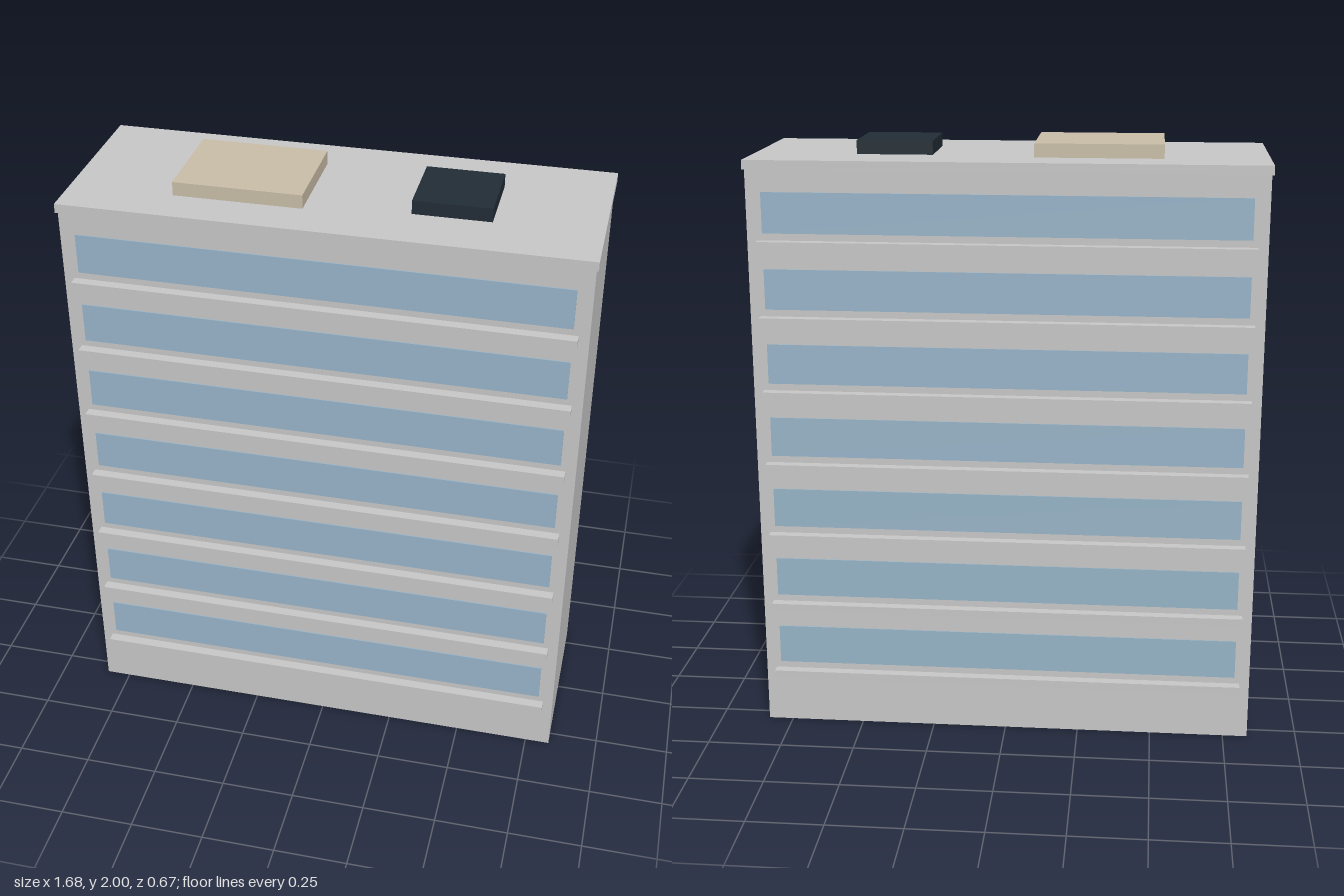
import * as THREE from 'three';

const material = (name, color) => {
  const m = new THREE.MeshStandardMaterial({ color });
  m.name = name;
  return m;
};

export function createModel() {
  const model = new THREE.Group();
  model.name = 'officeBlock';

  const concrete = material('concrete grey', 0xc8c8c8);
  const glass = material('window blue', 0x98b5c9);
  const beige = material('plant room beige', 0xcabea9);
  const dark = material('vent dark slate', 0x222d36);

  // Box given by its size, centre x and z, and bottom height
  const box = (name, mat, w, h, d, x, bottom, z, parent = model) => {
    const mesh = new THREE.Mesh(new THREE.BoxGeometry(w, h, d), mat);
    mesh.name = name;
    mesh.position.set(x, bottom + h / 2, z);
    parent.add(mesh);
  };

  // Main slab and overhanging roof
  box('body', concrete, 1.667, 1.925, 0.6, 0, 0, 0);
  box('roofSlab', concrete, 1.68, 0.03, 0.615, 0, 1.925, 0);

  // Rooftop units
  box('plantRoom', beige, 0.417, 0.045, 0.333, -0.292, 1.955, 0);
  box('roofVent', dark, 0.25, 0.045, 0.25, 0.375, 1.955, 0);

  // Seven floors, each with a window band and a ledge on both long sides
  for (let i = 0; i < 7; i++) {
    const floor = new THREE.Group();
    floor.name = `floor${i + 1}`;
    floor.position.y = i * 0.25;
    for (const [side, s] of [['front', 1], ['back', -1]]) {
      box(`${side}WindowBand`, glass, 1.567, 0.133, 0.008, 0, 0.22, s * 0.3, floor);
      box(`${side}Ledge`, concrete, 1.6, 0.026, 0.033, 0, 0.171, s * 0.3165, floor);
    }
    model.add(floor);
  }
  return model;
}
